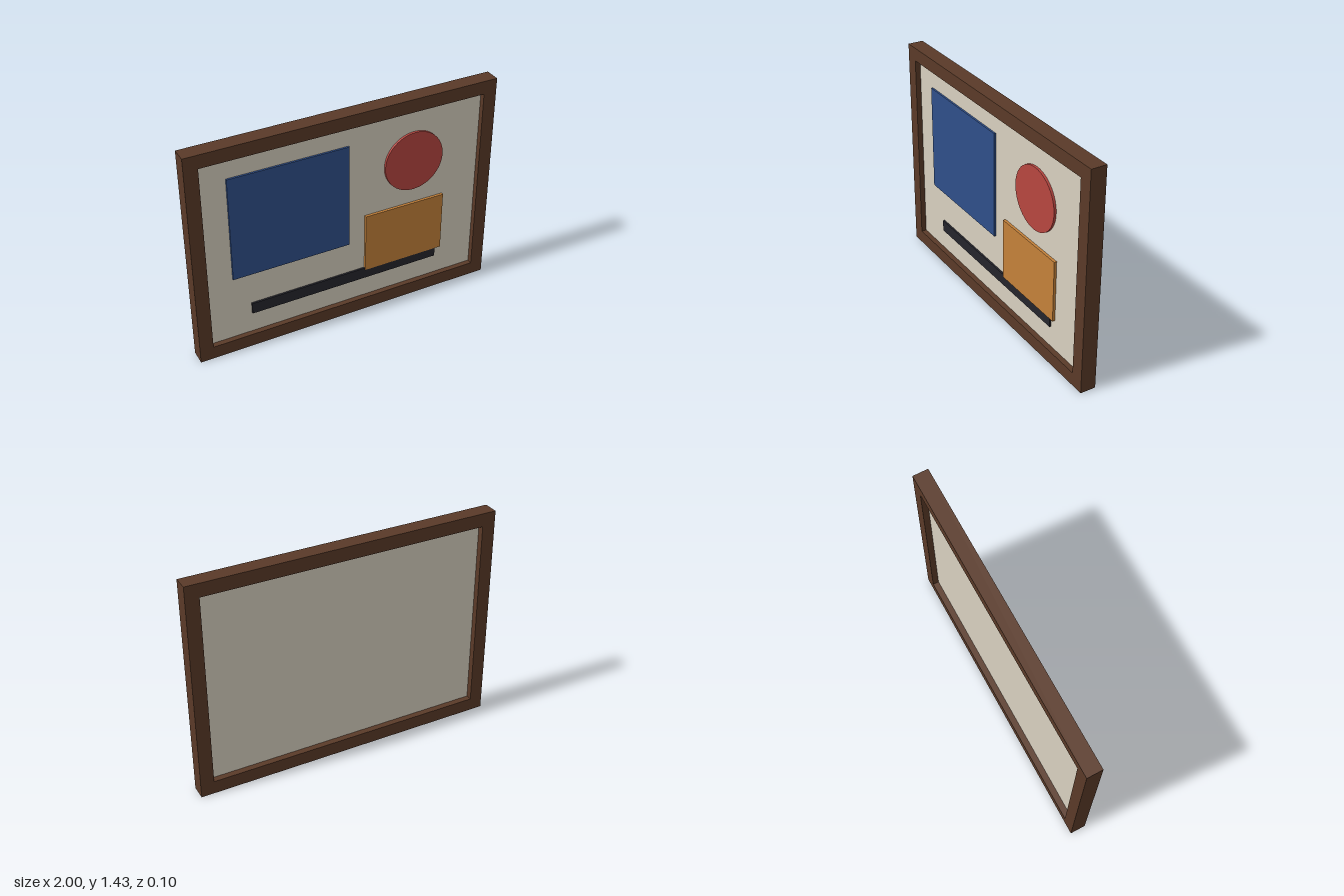
import * as THREE from 'three';

const WIDTH = 2, HEIGHT = 1.43, DEPTH = 0.1, BORDER = 0.086;
const PANEL_BACK = -0.01, PANEL_FRONT = 0.016;

function addPart(group, name, geometry, color) {
  const mesh = new THREE.Mesh(geometry, new THREE.MeshStandardMaterial({ color }));
  mesh.name = name;
  group.add(mesh);
  return mesh;
}

// Box given by its extents on each axis
function addSlab(group, name, [x0, x1], [y0, y1], [z0, z1], color) {
  const geometry = new THREE.BoxGeometry(x1 - x0, y1 - y0, z1 - z0);
  const mesh = addPart(group, name, geometry, color);
  mesh.position.set((x0 + x1) / 2, (y0 + y1) / 2, (z0 + z1) / 2);
  return mesh;
}

function traceRect(path, x0, y0, x1, y1) {
  path.moveTo(x0, y0);
  path.lineTo(x1, y0);
  path.lineTo(x1, y1);
  path.lineTo(x0, y1);
  path.closePath();
  return path;
}

export function createModel() {
  const group = new THREE.Group();
  group.name = 'framedPainting';
  const hw = WIDTH / 2;

  // Wooden frame with a rectangular opening
  const outline = traceRect(new THREE.Shape(), -hw, 0, hw, HEIGHT);
  outline.holes.push(traceRect(new THREE.Path(), -hw + BORDER, BORDER, hw - BORDER, HEIGHT - BORDER));
  const frameGeometry = new THREE.ExtrudeGeometry(outline, { depth: DEPTH, bevelEnabled: false });
  frameGeometry.translate(0, 0, -DEPTH / 2);
  addPart(group, 'frame', frameGeometry, 0x5a3a28);

  // Canvas panel, recessed from both faces of the frame
  addSlab(group, 'canvas', [-hw + BORDER, hw - BORDER], [BORDER, HEIGHT - BORDER],
    [PANEL_BACK, PANEL_FRONT], 0xd8d0c0);

  // Raised rectangles of the composition
  addSlab(group, 'blueBlock', [-0.75, 0.016], [0.52, 1.213], [PANEL_FRONT, 0.028], 0x2f4f8a);
  addSlab(group, 'darkBar', [-0.64, 0.637], [0.227, 0.302], [PANEL_FRONT, 0.028], 0x25252c);
  addSlab(group, 'orangeBlock', [0.128, 0.674], [0.29, 0.692], [PANEL_FRONT, 0.033], 0xc4813a);

  // Raised red disc
  const discDepth = 0.015;
  const disc = addPart(group, 'redDisc', new THREE.CylinderGeometry(0.199, 0.199, discDepth, 48), 0xb84640);
  disc.rotation.x = Math.PI / 2;
  disc.position.set(0.456, 0.994, PANEL_FRONT + discDepth / 2);

  return group;
}
